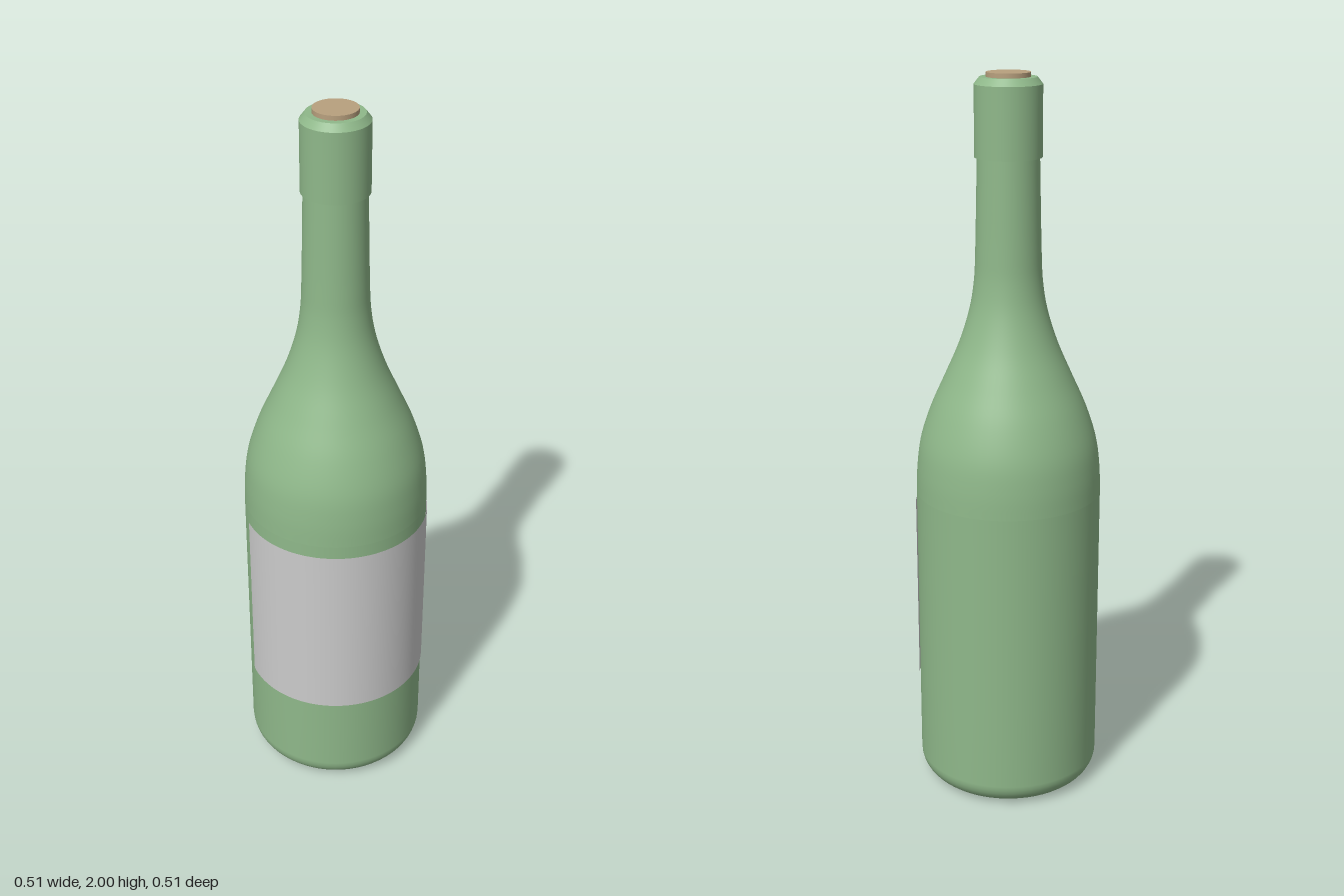
import * as THREE from 'three';

const SEGMENTS = 64;
const v = (x, y) => new THREE.Vector2(x, y);

// Smooth lathe through a few profile points
function lathe(points, material, samples) {
  const profile = samples ? new THREE.SplineCurve(points).getPoints(samples) : points;
  return new THREE.Mesh(new THREE.LatheGeometry(profile, SEGMENTS), material);
}

export function createModel() {
  const glass = new THREE.MeshStandardMaterial({ color: 0x8fb88a });
  const cork = new THREE.MeshStandardMaterial({ color: 0xb8a07e });
  const paper = new THREE.MeshStandardMaterial({ color: 0xcccccc, side: THREE.DoubleSide });

  const bottle = new THREE.Group();
  bottle.name = 'bottle';
  const add = (name, mesh) => {
    mesh.name = name;
    bottle.add(mesh);
  };

  // Hollow underside with a shallow dome
  add('base', lathe([v(0, 0.05), v(0.06, 0.045), v(0.12, 0.025), v(0.16, 0.006), v(0.19, 0)], glass, 16));

  // Rounded heel and straight wall
  const heel = [];
  for (let i = 0; i <= 8; i++) {
    const a = (i / 8) * Math.PI / 2;
    heel.push(v(0.19 + 0.065 * Math.sin(a), 0.065 - 0.065 * Math.cos(a)));
  }
  add('body', lathe([...heel, v(0.255, 0.3), v(0.255, 0.6), v(0.255, 0.87)], glass));

  // Shoulder sweeping into the neck
  add('shoulderAndNeck', lathe([
    v(0.255, 0.87), v(0.252, 0.94), v(0.241, 1.02), v(0.212, 1.11), v(0.172, 1.2),
    v(0.133, 1.29), v(0.105, 1.38), v(0.092, 1.46), v(0.088, 1.54), v(0.085, 1.66), v(0.082, 1.8),
  ], glass, 48));

  // Collar: underside, wall, bevel and rim, separate for crisp edges
  const collar = new THREE.Group();
  const profile = [v(0.08, 1.785), v(0.089, 1.785), v(0.089, 1.97), v(0.075, 1.988), v(0.056, 1.988)];
  for (let i = 0; i < profile.length - 1; i++) collar.add(lathe([profile[i], profile[i + 1]], glass));
  add('collar', collar);

  // Cork just proud of the rim
  const plug = new THREE.Mesh(new THREE.CylinderGeometry(0.058, 0.058, 0.1, SEGMENTS), cork);
  plug.position.y = 1.95;
  add('cork', plug);

  // Blank label wrapped around the front
  const half = Math.acos(0.02 / 0.258);
  const label = new THREE.Mesh(
    new THREE.CylinderGeometry(0.258, 0.258, 0.535, 48, 1, true, -half, half * 2), paper);
  label.position.y = 0.567;
  add('label', label);

  return bottle;
}
